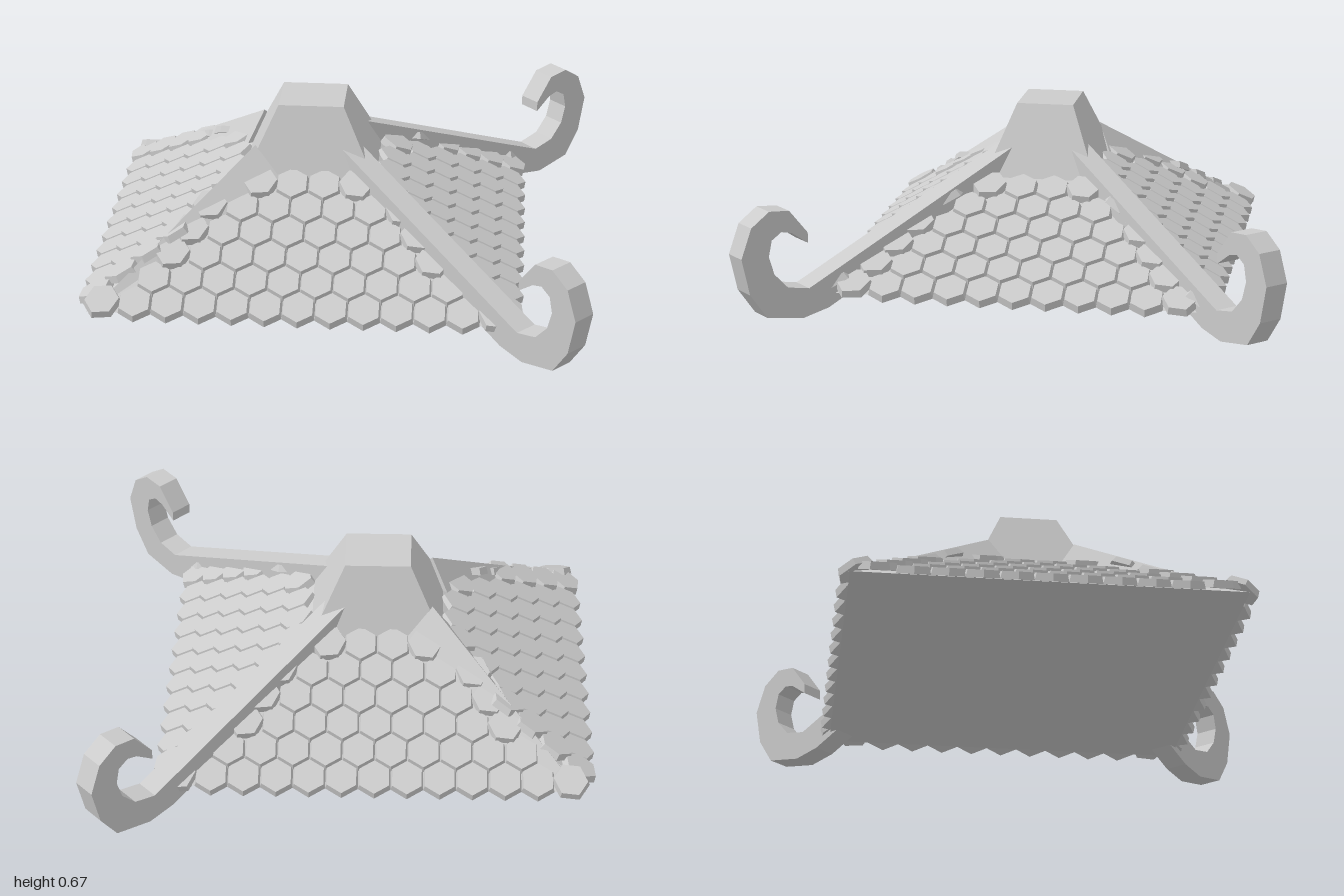
import * as THREE from 'three';
import { mergeGeometries } from 'three/addons/utils/BufferGeometryUtils.js';

const EAVE_Y = 0.07, RISE = 0.33, CENTER_X = -0.12;
const EAVE = [0.79, 0.71], TOP = [0.25, 0.22]; // half sizes in x and z

const mat = new THREE.MeshStandardMaterial({ color: 0xcccccc, flatShading: true, side: THREE.DoubleSide });

function mesh(name, geometry, parent) {
  const m = new THREE.Mesh(geometry, mat);
  m.name = name;
  parent.add(m);
  return m;
}

// Box whose bottom and top rectangles have different half sizes
function frustum(bottom, top, y0, y1) {
  const g = new THREE.BoxGeometry(2, 2, 2);
  const p = g.attributes.position;
  for (let i = 0; i < p.count; i++) {
    const up = p.getY(i) > 0, half = up ? top : bottom;
    p.setXYZ(i, p.getX(i) * half[0], up ? y1 : y0, p.getZ(i) * half[1]);
  }
  g.computeVertexNormals();
  return g;
}

// Overlapping hexagonal shingles on one roof slope, facing +z before turning
function slopeTiles(eaveHalf, topHalf, eaveDist, topDist, turn) {
  const run = eaveDist - topDist, length = Math.hypot(run, RISE), pitch = Math.atan2(RISE, run);
  const width = 0.122, rowStep = 0.106, tiles = [];
  for (let row = 0; row < 6; row++) {
    const t = (0.035 + row * rowStep) / length;
    const half = THREE.MathUtils.lerp(eaveHalf, topHalf, t);
    const shift = row % 2 ? 0.5 : 0;
    for (let c = -8; c <= 8; c++) {
      const u = (c + shift) * width;
      if (Math.abs(u) > half) continue;
      const atHip = Math.abs(u) > half - 0.1;
      const g = new THREE.CylinderGeometry(0.064, 0.072, 0.028, 6);
      g.scale(0.99, 1, 1.05);
      // Shingles beside a hip turn toward the corner
      if (atHip) g.rotateY(Math.sign(u) * 0.45);
      g.translate(0, atHip ? 0.02 : 0.012, 0);
      g.rotateX(pitch - 0.1);
      g.translate(u, EAVE_Y + RISE * t, eaveDist - run * t);
      tiles.push(g);
    }
  }
  return mergeGeometries(tiles).rotateY(turn);
}

// Tapering ridge running from the cap to a plain corner
function hipRidge(side) {
  const a = [-0.33, 0.52, 0.165 * side], b = [-0.22, 0.4, 0.23 * side];
  const c = [-0.39, 0.4, 0.1 * side], tip = [-0.9, 0.07, 0.73 * side];
  const faces = side > 0 ? [a, tip, b, a, c, tip, a, b, c, b, tip, c]
    : [a, b, tip, a, tip, c, a, c, b, b, c, tip];
  const g = new THREE.BufferGeometry();
  g.setAttribute('position', new THREE.Float32BufferAttribute(faces.flat(), 3));
  g.computeVertexNormals();
  return g;
}

// Beam with a curled end, drawn in its own upright plane
function hookBeam(side) {
  const angle = Math.atan(0.95), startX = 0.04, startZ = 0.14, width = 0.092;
  const outline = [
    [-0.05, 0.565], [0.72, 0.11], [0.785, 0.13], [0.825, 0.19], [0.84, 0.26], [0.83, 0.32],
    [0.80, 0.345], [0.77, 0.335], [0.72, 0.285], [0.72, 0.325], [0.775, 0.42], [0.835, 0.43],
    [0.89, 0.38], [0.922, 0.27], [0.9, 0.13], [0.85, 0.03], [0.74, 0], [0.66, 0.02], [-0.05, 0.45],
  ].map(([x, y]) => new THREE.Vector2((x - startX) / Math.cos(angle), y));
  const g = new THREE.ExtrudeGeometry(new THREE.Shape(outline), { depth: width, bevelEnabled: false });
  return g.translate(0, 0, -width / 2).rotateY(-side * angle).translate(startX, 0, startZ * side);
}

export function createModel() {
  const model = new THREE.Group();
  model.name = 'hookedRoof';

  // Solid roof body under the shingles
  const roof = new THREE.Group();
  roof.name = 'roof';
  roof.position.x = CENTER_X;
  model.add(roof);
  mesh('roofBody', frustum(EAVE, TOP, EAVE_Y, EAVE_Y + RISE), roof);

  // Shingles on the four slopes
  ['frontTiles', 'leftTiles', 'backTiles', 'rightTiles'].forEach((name, k) => {
    const along = k % 2, across = 1 - along;
    mesh(name, slopeTiles(EAVE[along], TOP[along], EAVE[across], TOP[across], k * Math.PI / 2), roof);
  });

  // Flat-topped cap
  mesh('cap', frustum([0.26, 0.222], [0.125, 0.11], 0.385, 0.665), roof);

  // Plain ridges on the right, hooked beams on the left
  for (const side of [1, -1]) {
    const end = side > 0 ? 'front' : 'back';
    mesh(end + 'HipRidge', hipRidge(side), model);
    mesh(end + 'HookBeam', hookBeam(side), model);
  }
  return model;
}
